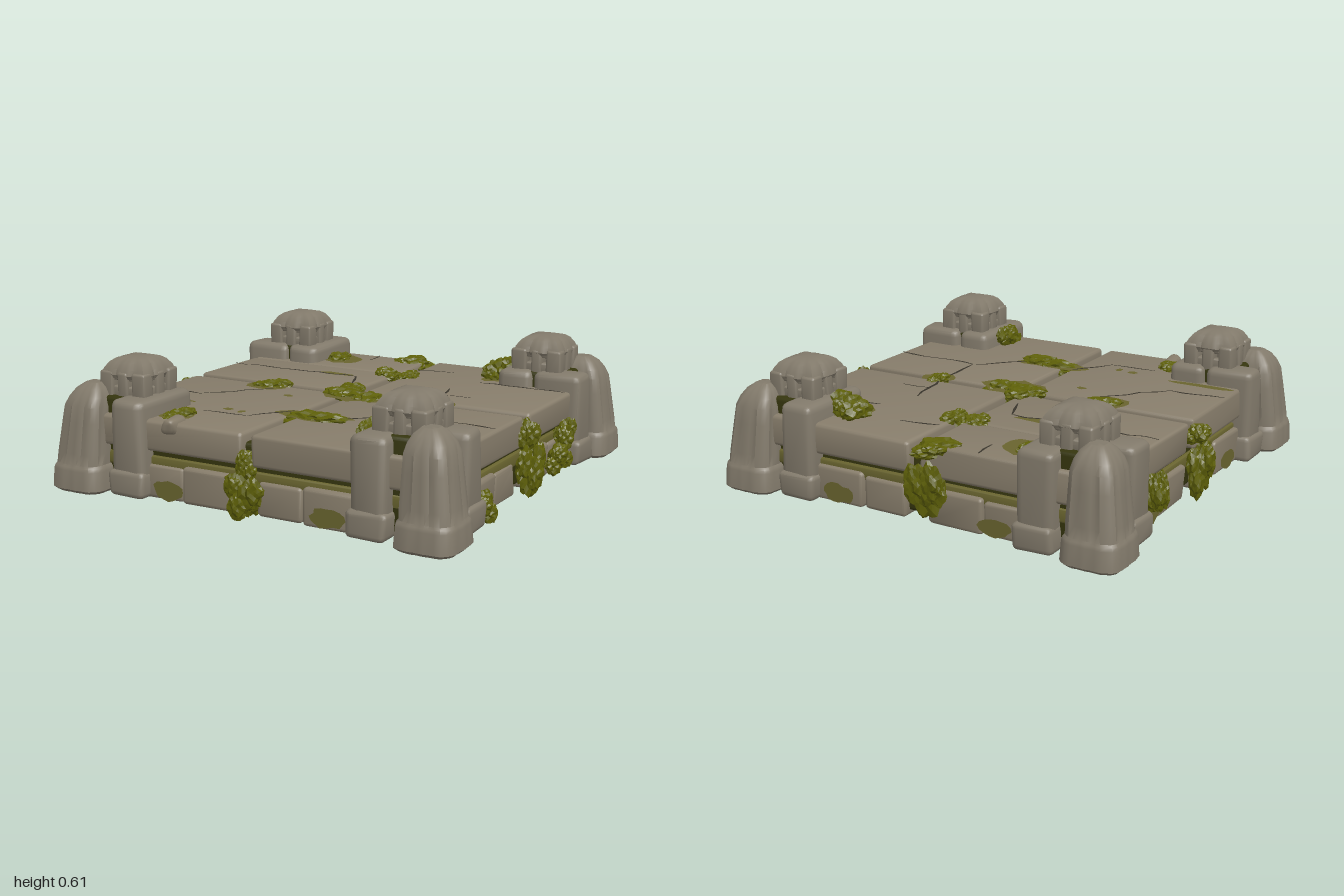
import * as THREE from 'three';
import { mergeGeometries, mergeVertices, toCreasedNormals } from 'three/addons/utils/BufferGeometryUtils.js';
import { RoundedBoxGeometry } from 'three/addons/geometries/RoundedBoxGeometry.js';

const material = (name, color, extra = {}) => Object.assign(new THREE.MeshStandardMaterial({ color, ...extra }), { name });
const stone = material('stone', 0x877d6b);
const towerStone = material('tower stone', 0x827a6b);
const moss = material('moss', 0x5d5f08);
const darkMoss = material('dark moss', 0x35350e);
const crackDark = material('crack', 0x39352c, { side: THREE.DoubleSide });
const stain = material('moss stain', 0x69642f, { side: THREE.DoubleSide });

let seed = 7;
const rand = () => (seed = (seed * 16807) % 2147483647) / 2147483647;
const wobble = (x, y, z) => Math.sin(x * 31 + y * 17 + z * 5) * Math.cos(z * 27 - y * 13 + x * 7);

function add(parent, name, geometry, mat) {
  const mesh = new THREE.Mesh(geometry, mat);
  mesh.name = name;
  parent.add(mesh);
}

function indexed(pos, idx) {
  const g = new THREE.BufferGeometry();
  g.setAttribute('position', new THREE.Float32BufferAttribute(pos, 3));
  g.setIndex(idx);
  return g;
}

// Worn block between two corners, with softly chipped edges
function block(parent, name, [x0, x1], [y0, y1], [z0, z1], mat = stone, r = 0.018, wear = 0.007) {
  let g = new RoundedBoxGeometry(x1 - x0, y1 - y0, z1 - z0, 2, r);
  g.translate((x0 + x1) / 2, (y0 + y1) / 2, (z0 + z1) / 2);
  g.deleteAttribute('uv');
  g.deleteAttribute('normal');
  g = mergeVertices(g, 1e-4);
  const p = g.attributes.position;
  for (let i = 0; i < p.count; i++) {
    const [x, y, z] = [p.getX(i), p.getY(i), p.getZ(i)];
    p.setXYZ(i, x + wear * wobble(x, y, z), y + wear * 0.15 * wobble(z, x, y), z + wear * wobble(y, z, x));
  }
  add(parent, name, toCreasedNormals(g, 0.6), mat);
}

// Rounded-square column lofted through rows of [y, half width, shift towards the centre]
function loft(parent, name, cx, cz, rows, flute, power) {
  const n = 40, pos = [], idx = [];
  const sx = Math.sign(cx), sz = Math.sign(cz);
  rows.forEach(([y, h, shift = 0]) => {
    for (let i = 0; i < n; i++) {
      const a = (i / n) * Math.PI * 2, c = Math.cos(a), s = Math.sin(a);
      const k = h * flute(i, y) / Math.pow(Math.abs(c) ** power + Math.abs(s) ** power, 1 / power);
      pos.push(cx - sx * shift + c * k, y, cz - sz * shift + s * k);
    }
  });
  for (let j = 0; j < rows.length - 1; j++) for (let i = 0; i < n; i++) {
    const a = j * n + i, b = j * n + (i + 1) % n;
    idx.push(a, a + n, b, b, a + n, b + n);
  }
  [0, rows.length - 1].forEach((j) => {
    const centre = pos.length / 3, [y, , shift = 0] = rows[j];
    pos.push(cx - sx * shift, y, cz - sz * shift);
    for (let i = 0; i < n; i++) {
      const a = j * n + i, b = j * n + (i + 1) % n;
      idx.push(centre, j ? b : a, j ? a : b);
    }
  });
  add(parent, name, toCreasedNormals(indexed(pos, idx), 0.6), towerStone);
}

// Thin dark strip that wanders between two floor points and tapers at the ends
function crack(parent, x0, z0, x1, z1) {
  const l = Math.hypot(x1 - x0, z1 - z0), ux = (x1 - x0) / l, uz = (z1 - z0) / l;
  const n = Math.max(2, Math.round(l / 0.07)), pos = [], idx = [];
  for (let i = 0; i <= n; i++) {
    const end = i === 0 || i === n, d = (i / n) * l;
    const w = end ? 0.003 : 0.004 + 0.004 * rand(), off = end ? 0 : (rand() - 0.5) * 0.03;
    const x = x0 + ux * d - uz * off, z = z0 + uz * d + ux * off;
    pos.push(x - uz * w, 0.384, z + ux * w, x + uz * w, 0.384, z - ux * w);
    if (i) idx.push(2 * i - 2, 2 * i, 2 * i - 1, 2 * i - 1, 2 * i, 2 * i + 1);
  }
  const g = indexed(pos, idx);
  g.computeVertexNormals();
  add(parent, 'crack', g, crackDark);
}

// Irregular thin disc of stained stone, lying flat, or upright when turned
function patch(parent, [x, y, z], rx, ry, tilt = -Math.PI / 2, turn = 0) {
  const g = new THREE.CircleGeometry(1, 16), p = g.attributes.position;
  for (let i = 1; i < p.count - 1; i++) {
    const k = 0.8 + 0.35 * rand();
    p.setXY(i, p.getX(i) * k, p.getY(i) * k);
  }
  p.setXY(p.count - 1, p.getX(1), p.getY(1));
  g.scale(rx, ry, 1).rotateX(tilt).rotateY(turn).translate(x, y, z);
  add(parent, 'mossStain', g, stain);
}

// Ragged clump made of several displaced lumps
function clump(parent, x, y, z, rx, ry, rz) {
  const lumps = [];
  for (let k = 0; k < 6; k++) {
    const g = new THREE.IcosahedronGeometry(1, 3), p = g.attributes.position;
    for (let i = 0; i < p.count; i++) {
      const [a, b, c] = [p.getX(i), p.getY(i), p.getZ(i)];
      const d = 1 + 0.16 * Math.sin(a * 7 + k) * Math.sin(b * 6 + k * 2) + 0.13 * Math.sin(c * 8 + a * 5 + x * 9);
      p.setXYZ(i, a * d, b * d, c * d);
    }
    const s = k ? 0.4 + 0.15 * rand() : 0.68, a = k * 1.257 + rand(), o = k ? 0.52 : 0;
    g.scale(rx * s, ry * s, rz * s);
    g.translate(x + Math.cos(a) * o * rx, y + (rand() - 0.5) * o * ry * 1.6, z + Math.sin(a) * o * rz);
    g.computeVertexNormals();
    lumps.push(g);
  }
  add(parent, 'mossClump', mergeGeometries(lumps), moss);
}

function tower(parent, sx, sz) {
  const t = new THREE.Group();
  t.name = 'cornerTower';
  parent.add(t);
  const dz = sz < 0 ? -0.015 : 0;
  const span = (s, a, b, d = 0) => (s > 0 ? [a + d, b + d] : [-b + d, -a + d]);
  const X = (a, b) => span(sx, a, b), Z = (a, b) => span(sz, a, b, dz);
  const wall = [0.06, 0.46], footing = [0.03, 0.15];

  block(t, 'mossyCore', X(0.56, 0.84), [0.05, 0.455], Z(0.56, 0.84), darkMoss);
  // Inner wall blocks with wider footings
  block(t, 'frontBlock', X(0.515, 0.685), wall, Z(0.52, 0.915), towerStone, 0.035);
  block(t, 'frontFooting', X(0.505, 0.692), footing, Z(0.515, 0.93), towerStone, 0.025);
  block(t, 'sideBlock', X(0.697, 0.93), wall, Z(0.525, 0.685), towerStone, 0.035);
  block(t, 'sideFooting', X(0.697, 0.945), footing, Z(0.515, 0.692), towerStone, 0.025);
  // Fluted outer pillar with a flared foot and domed top
  const pillar = [[0.025, 0.12], [0.04, 0.137], [0.125, 0.131], [0.14, 0.127], [0.15, 0.119], [0.2, 0.117, 0.003],
    [0.34, 0.106, 0.011], [0.41, 0.1, 0.015], [0.45, 0.086, 0.019], [0.485, 0.064, 0.023], [0.508, 0.035, 0.026]];
  loft(t, 'outerPillar', sx * 0.863, sz * 0.843 + dz * 0.7, pillar,
    (i, y) => (y > 0.17 && y < 0.44 && i % 5 === 3 ? 0.93 : 1 - 0.012 * (i % 3)), 4.5);
  // Cap pierced by narrow slots between stout legs
  const cx = sx * 0.69, cz = sz * 0.69 + dz;
  loft(t, 'cap', cx, cz, [[0.53, 0.118], [0.545, 0.126], [0.57, 0.118], [0.598, 0.098], [0.613, 0.075], [0.62, 0.045]],
    (i) => (i % 10 === 5 ? 1.06 : i % 5 === 2 ? 0.92 : 0.98), 5);
  for (let i = -1; i <= 1; i++) for (let j = -1; j <= 1; j++) {
    if (!i && !j) continue;
    const wx = i ? 0.036 : 0.027, wz = j ? 0.036 : 0.027, x = cx + i * 0.088, z = cz + j * 0.088;
    block(t, 'capLeg', [x - wx, x + wx], [0.43, 0.56], [z - wz, z + wz], towerStone, 0.012, 0.004);
  }
  // Webs closing the slots above and below their openings
  for (const s of [-1, 1]) for (const y of [[0.44, 0.495], [0.52, 0.55]]) {
    block(t, 'capWeb', [cx - 0.09, cx + 0.09], y, [cz + s * 0.088 - 0.022, cz + s * 0.088 + 0.022], towerStone, 0.008, 0.003);
    block(t, 'capWeb', [cx + s * 0.088 - 0.022, cx + s * 0.088 + 0.022], y, [cz - 0.09, cz + 0.09], towerStone, 0.008, 0.003);
  }
}

export function createModel() {
  const model = new THREE.Group();
  model.name = 'ruinedStonePlatform';

  // Mossy filling seen in every joint, and the stained ledge under the paving
  block(model, 'mossFilling', [-0.84, 0.84], [0.055, 0.335], [-0.85, 0.83], darkMoss);
  block(model, 'mossyLedge', [-0.853, 0.853], [0.15, 0.215], [-0.863, 0.848], stain, 0.012);

  // Upper paving slabs
  const top = [0.24, 0.381], left = [-0.88, -0.027], right = [0.027, 0.88];
  block(model, 'pavingSlab', left, top, [-0.885, -0.523]);
  block(model, 'pavingSlab', left, top, [-0.521, -0.057]);
  block(model, 'pavingSlab', right, top, [-0.89, -0.057]);
  [left, right].forEach((x) => block(model, 'pavingSlab', x, top, [-0.003, 0.87]));

  // Underside slabs and the footing bricks around them
  [[-0.8, -0.02], [0.02, 0.8]].forEach((x) => block(model, 'baseSlab', x, [0.03, 0.17], [-0.8, 0.79]));
  [[-0.56, -0.33], [-0.33, -0.06], [0.05, 0.27], [0.27, 0.56]].forEach(([a, b], i) => {
    const run = [a + 0.003, b - 0.003], out = 0.868 + 0.008 * (i % 2), h = [0.03, 0.18 + 0.012 * (i % 2)];
    block(model, 'baseBrick', run, h, [0.75, out]);
    block(model, 'baseBrick', run, h, [-out - 0.01, -0.76]);
    block(model, 'baseBrick', [0.75, out], h, run);
    block(model, 'baseBrick', [-out, -0.75], h, run);
  });

  for (const sx of [-1, 1]) for (const sz of [-1, 1]) tower(model, sx, sz);

  // Cracks in the back paving, then the front paving
  [[-0.87, -0.34, -0.16, -0.35], [-0.16, -0.35, -0.1, -0.2], [0.87, -0.52, 0.43, -0.52], [-0.31, -0.87, -0.3, -0.75],
    [0.03, -0.64, 0.22, -0.67], [0.36, -0.33, 0.42, -0.06], [0.39, -0.19, 0.53, -0.2]].forEach((c) => crack(model, ...c));
  [[-0.87, 0.36, -0.61, 0.34], [-0.61, 0.34, -0.36, 0.08], [-0.4, 0.61, -0.17, 0.6], [-0.17, 0.6, -0.04, 0.42],
    [0.42, 0.01, 0.43, 0.25], [0.43, 0.25, 0.13, 0.53], [0.43, 0.26, 0.87, 0.28]].forEach((c) => crack(model, ...c));

  // Moss on the paving; clumps against the towers grow taller
  [[-0.46, -0.7, 0.06, 0.09], [0.46, -0.71, 0.09, 0.1], [-0.1, -0.85, 0.11, 0.11], [-0.06, -0.5, 0.07, 0.08],
    [0.05, -0.5, 0.06, 0.08], [-0.42, 0.01, 0.1, 0.09], [-0.03, -0.03, 0.11, 0.11], [0.12, 0.02, 0.09, 0.1],
    [0.44, -0.03, 0.06, 0.08], [0.08, 0.47, 0.18, 0.085], [-0.45, 0.73, 0.07, 0.1], [0.5, 0.72, 0.05, 0.1],
  ].forEach(([x, z, rx, rz]) => {
    const tall = x > 0.4 && Math.abs(z) > 0.6;
    clump(model, x, tall ? 0.41 : 0.37, z, rx, tall ? 0.085 : 0.05, rz);
  });
  // Stains on the paving around them
  [[-0.44, -0.7, 0.1, 0.1], [0.47, -0.68, 0.1, 0.1], [-0.43, 0.01, 0.11, 0.1], [0.06, 0.02, 0.17, 0.11],
    [0.45, -0.02, 0.08, 0.07], [0.09, 0.47, 0.18, 0.08], [-0.45, 0.72, 0.08, 0.1], [-0.7, 0.49, 0.17, 0.025],
    [-0.28, -0.37, 0.1, 0.025], [-0.23, 0.17, 0.025, 0.018], [-0.32, 0.53, 0.025, 0.018],
    [-0.24, 0.54, 0.015, 0.025]].forEach(([x, z, rx, rz]) => patch(model, [x, 0.3825, z], rx, rz));
  // Stains on the footing bricks of the front, back and sides
  [[-0.4, 0.08], [0.4, 0.08]].forEach(([u, y]) => {
    patch(model, [u, y, 0.883], 0.08, 0.045, 0);
    patch(model, [u, y, -0.893], 0.08, 0.045, 0, Math.PI);
    patch(model, [0.883, y, u], 0.08, 0.045, 0, Math.PI / 2);
    patch(model, [-0.883, y, u], 0.08, 0.045, 0, -Math.PI / 2);
  });

  // Moss hanging at the middle of the front and back
  clump(model, -0.01, 0.12, 0.875, 0.095, 0.125, 0.06);
  clump(model, 0.0, 0.25, 0.85, 0.05, 0.08, 0.05);
  clump(model, -0.07, 0.18, -0.9, 0.1, 0.16, 0.06);
  // Moss hanging down the two sides: [x, y, z, height, depth]
  [[0.92, 0.13, 0.01, 0.145, 0.1], [0.9, 0.29, -0.01, 0.1, 0.06], [0.91, 0.12, -0.36, 0.085, 0.1], [0.9, 0.2, -0.45, 0.09, 0.06],
    [0.9, 0.1, 0.46, 0.085, 0.07], [-0.92, 0.16, 0, 0.14, 0.08], [-0.9, 0.32, 0, 0.06, 0.06], [-0.92, 0.2, -0.47, 0.12, 0.05],
  ].forEach(([x, y, z, ry, rz]) => clump(model, x, y, z, 0.06, ry, rz));
  // Moss on the underside
  [[0, 0.02], [0.12, 0.35], [-0.05, 0.62], [0.35, -0.1]].forEach(([x, z]) => clump(model, x, 0.04, z, 0.07, 0.025, 0.06));

  // Fallen chip of stone by the front edge
  block(model, 'looseStone', [-0.43, -0.36], [0.33, 0.4], [0.77, 0.9], stone, 0.025, 0.016);
  return model;
}
